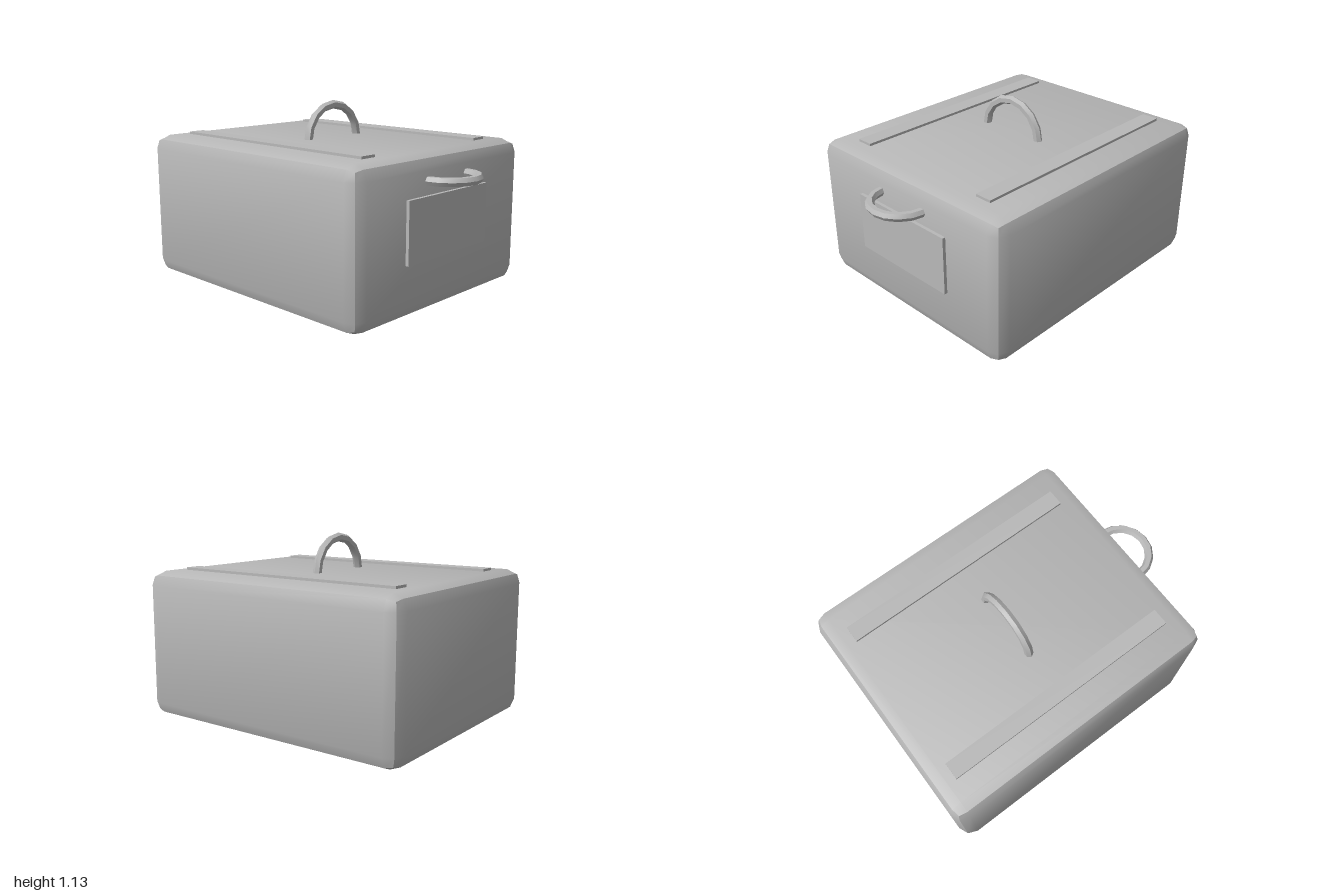
import * as THREE from 'three';
import { RoundedBoxGeometry } from 'three/addons/geometries/RoundedBoxGeometry.js';
import { toCreasedNormals } from 'three/addons/utils/BufferGeometryUtils.js';

const CREASE = 0.6;

export function createModel() {
  const model = new THREE.Group();
  model.name = 'carryCase';
  const grey = new THREE.MeshStandardMaterial({ color: 0xb8b8b8 });
  grey.name = 'plain grey';

  const add = (name, geometry, x, y, z) => {
    const mesh = new THREE.Mesh(geometry, grey);
    mesh.name = name;
    mesh.position.set(x, y, z);
    model.add(mesh);
    return mesh;
  };

  // Half-ring handle with six-sided tube, ends sunk into the case
  const handle = (radius) =>
    toCreasedNormals(new THREE.TorusGeometry(radius, 0.027, 6, 8, Math.PI), CREASE);

  // Case with bevelled edges
  const body = toCreasedNormals(new RoundedBoxGeometry(1.51, 0.905, 1.8, 1, 0.085), CREASE);
  add('body', body, 0, 0.4525, -0.1);

  // Raised strips along the lid
  for (const side of [-1, 1]) {
    add(side > 0 ? 'leftStrip' : 'rightStrip',
      new THREE.BoxGeometry(0.105, 0.03, 1.515), side * 0.5025, 0.905, -0.1025);
  }

  // Front panel
  add('frontPanel', new THREE.BoxGeometry(0.72, 0.36, 0.04), 0, 0.5, 0.8);

  // Handles on the lid and on the front
  add('topHandle', handle(0.215), 0, 0.893, -0.1);
  add('frontHandle', handle(0.178), 0, 0.76, 0.795).rotation.x = Math.PI / 2;

  return model;
}
